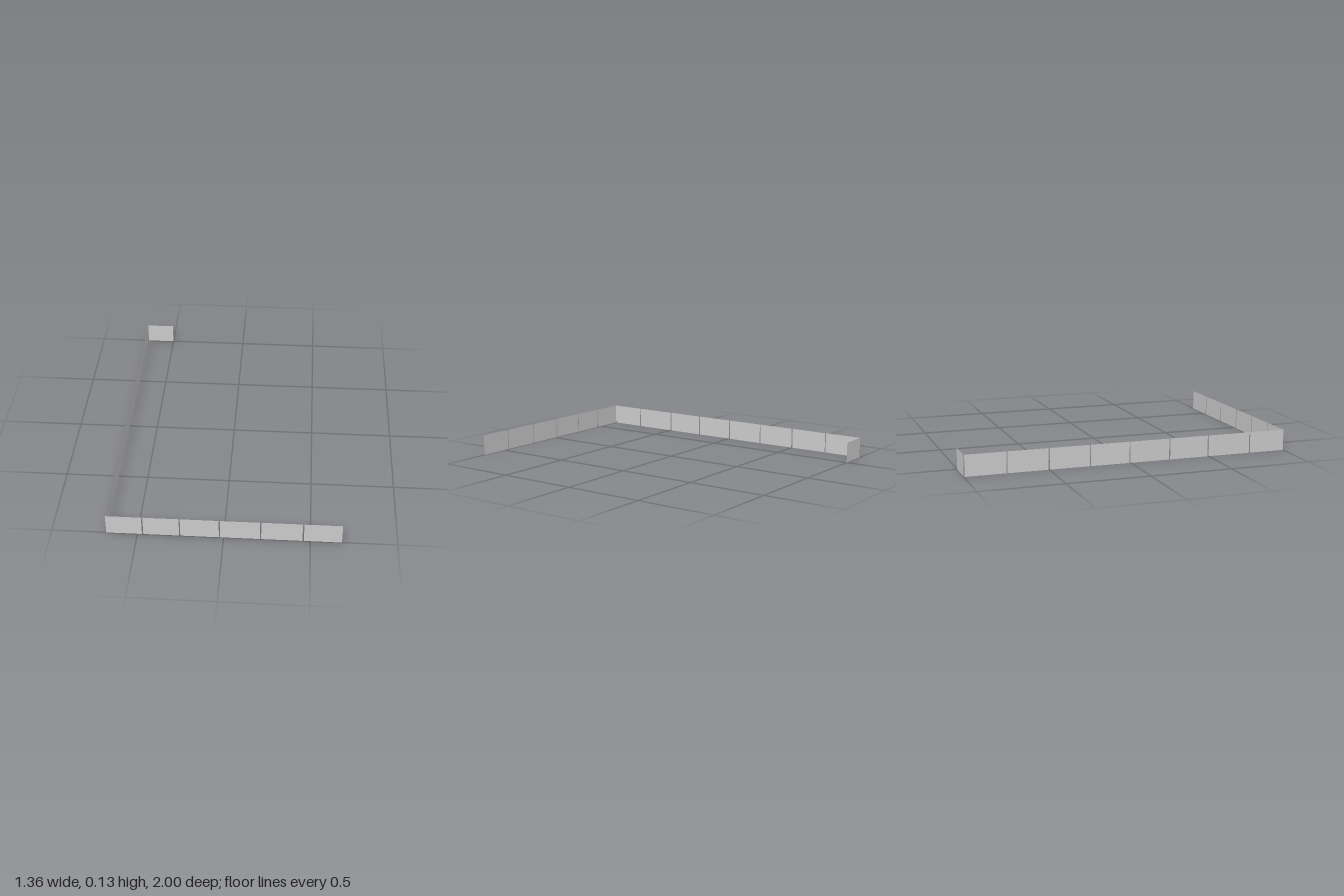
import * as THREE from 'three';

const HEIGHT = 0.128;
const SIDE_X = -0.68;

export function createModel() {
  const model = new THREE.Group();
  const material = new THREE.MeshStandardMaterial({ color: 0xcccccc, side: THREE.DoubleSide, flatShading: true });

  // One row of thin upright panels, given as [start, end] spans along the row
  function addRow(name, spans, place) {
    const row = new THREE.Group();
    row.name = name;
    spans.forEach(([a, b], i) => {
      const panel = new THREE.Mesh(new THREE.PlaneGeometry(Math.abs(b - a), HEIGHT), material);
      panel.name = `${name}Panel${i + 1}`;
      place(panel, (a + b) / 2);
      row.add(panel);
    });
    model.add(row);
  }

  // Front row, facing +z
  addRow('frontRow', [
    [-0.681, -0.473], [-0.465, -0.257], [-0.25, -0.027],
    [-0.02, 0.21], [0.217, 0.454], [0.462, 0.681],
  ], (panel, x) => panel.position.set(x, HEIGHT / 2, 1));

  // Long side row, facing along x
  addRow('sideRow', [
    [0.998, 0.775], [0.768, 0.5], [0.492, 0.25], [0.243, -0.002],
    [-0.008, -0.249], [-0.255, -0.496], [-0.505, -0.747], [-0.753, -0.995],
  ], (panel, z) => {
    panel.position.set(SIDE_X, HEIGHT / 2, z);
    panel.rotation.y = -Math.PI / 2;
  });

  // Short return panel at the back
  addRow('backReturn', [[-0.677, -0.5]], (panel, x) => {
    panel.position.set(x, HEIGHT / 2, -1);
    panel.rotation.y = Math.PI;
  });

  return model;
}
